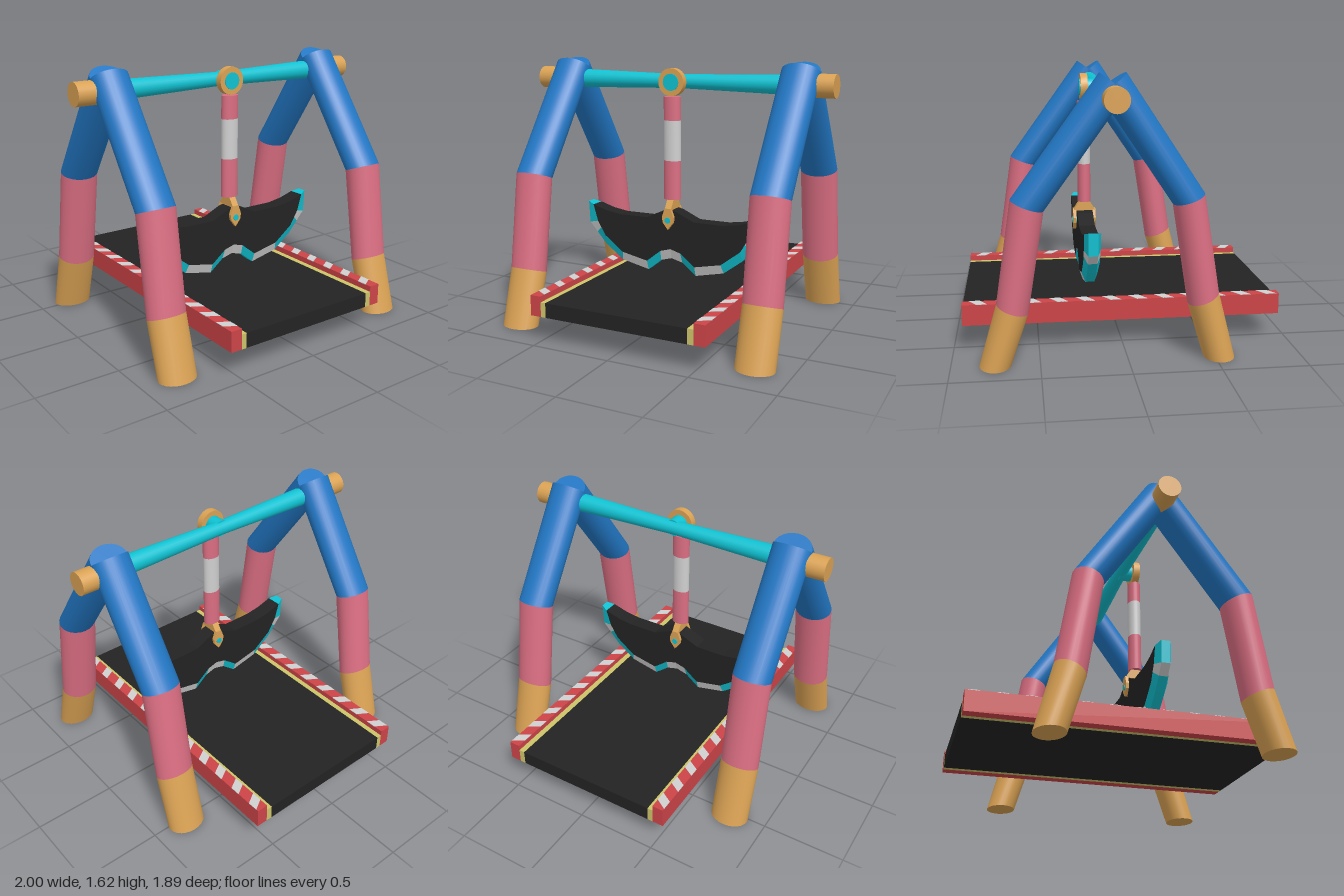
import * as THREE from 'three';
import { toCreasedNormals } from 'three/addons/utils/BufferGeometryUtils.js';

const material = (name, color) => new THREE.MeshStandardMaterial({ name, color });
const V = (x, y, z) => new THREE.Vector3(x, y, z);

// Closed solid between two rings, counterclockwise about the direction a -> b
function loft(a, b) {
  const pos = [];
  const tri = (...pts) => pts.forEach(p => pos.push(p.x, p.y, p.z));
  const mid = ring => ring.reduce((s, p) => s.add(p), V(0, 0, 0)).divideScalar(ring.length);
  const ca = mid(a), cb = mid(b);
  a.forEach((p, i) => {
    const j = (i + 1) % a.length;
    tri(p, a[j], b[j]);
    tri(p, b[j], b[i]);
    tri(ca, a[j], p);
    tri(cb, b[i], b[j]);
  });
  const g = new THREE.BufferGeometry();
  g.setAttribute('position', new THREE.Float32BufferAttribute(pos, 3));
  return toCreasedNormals(g, 0.5);
}

function extrude(points, depth) {
  const shape = new THREE.Shape(points.map(p => new THREE.Vector2(p[0], p[1])));
  return new THREE.ExtrudeGeometry(shape, { depth, bevelEnabled: false }).translate(0, 0, -depth / 2);
}

export function createModel() {
  const blue = material('blue', 0x2277c4), pink = material('pink', 0xda6e82);
  const gold = material('gold', 0xdaa254), cyan = material('cyan', 0x10c2d2);
  const black = material('black', 0x232323), white = material('white', 0xd0d0d0);
  const red = material('red', 0xcc4448), yellow = material('yellow', 0xcdc46a);

  const model = new THREE.Group();
  const add = (name, geometry, mat, x = 0, y = 0, z = 0, parent = model) => {
    const mesh = new THREE.Mesh(geometry, mat);
    mesh.name = name;
    mesh.position.set(x, y, z);
    parent.add(mesh);
    return mesh;
  };
  const group = name => {
    const g = new THREE.Group();
    g.name = name;
    model.add(g);
    return g;
  };

  // Bent legs: each ring is centre z, centre y, half-width vector z, y
  const legRings = {
    frontLeg: [[0.752, 0, 0.09, 0], [0.65, 0.33, 0.089, 0.03], [0.56, 0.913, 0.0915, 0.0335], [0.087, 1.57, 0.076, 0.055]],
    backLeg: [[-0.526, 0, -0.09, 0], [-0.428, 0.355, -0.088, 0.035], [-0.336, 0.93, -0.0885, 0.031], [0.091, 1.57, -0.076, 0.055]],
  };
  const sections = [['foot', gold], ['shin', pink], ['upperLeg', blue]];
  for (const [side, cx] of [['left', 0.785], ['right', -0.775]]) {
    for (const [name, rings] of Object.entries(legRings)) {
      const leg = group(`${side} ${name}`);
      const sign = name === 'frontLeg' ? -1 : 1;
      const loops = rings.map(([z, y, dz, dy]) => Array.from({ length: 24 }, (_, i) => {
        const t = i / 24 * Math.PI * 2, s = Math.sin(t);
        return V(cx + sign * 0.117 * Math.cos(t), y + dy * s, z + dz * s);
      }));
      sections.forEach(([part, mat], i) => add(part, loft(loops[i], loops[i + 1]), mat, 0, 0, 0, leg));
    }
  }

  // Crossbeam, thinner at the middle, with end caps
  const beamY = 1.493, beamZ = 0.09;
  for (const s of [-1, 1]) {
    const half = new THREE.CylinderGeometry(s > 0 ? 0.06 : 0.043, s > 0 ? 0.043 : 0.06, 0.75, 24);
    add('crossbeam', half.rotateZ(-Math.PI / 2), cyan, s * 0.375, beamY, beamZ);
    const cap = new THREE.CylinderGeometry(0.07, 0.07, 0.24, 24).rotateZ(Math.PI / 2);
    add('beamEnd', cap, gold, s * 0.88, beamY, beamZ);
  }

  // Hanger hub and ring
  const hangZ = 0.183;
  add('hub', new THREE.CylinderGeometry(0.052, 0.052, 0.13, 24).rotateX(Math.PI / 2), cyan, 0, beamY, 0.145);
  const ringProfile = [[0.05, -0.022], [0.085, -0.022], [0.085, 0.022], [0.05, 0.022], [0.05, -0.022]];
  const ring = new THREE.LatheGeometry(ringProfile.map(p => new THREE.Vector2(...p)), 28);
  add('hangerRing', toCreasedNormals(ring, 0.6).rotateX(Math.PI / 2), gold, 0, beamY, hangZ);

  // Banded oval rod
  for (const [name, y0, y1, mat] of [['rodTop', 1.26, 1.405, pink], ['rodBand', 1.01, 1.26, white], ['rodBottom', 0.765, 1.01, pink]]) {
    const g = new THREE.CylinderGeometry(0.056, 0.056, y1 - y0, 24).scale(1, 1, 0.74);
    add(name, g, mat, 0, (y0 + y1) / 2, hangZ);
  }

  // Forked bracket with cheek plates and pin
  const fork = extrude([
    [-0.03, 0.768], [-0.068, 0.71], [-0.068, 0.65], [-0.052, 0.65], [-0.052, 0.705],
    [0.052, 0.705], [0.052, 0.65], [0.068, 0.65], [0.068, 0.71], [0.03, 0.768],
  ], 0.044);
  add('fork', fork.rotateY(-Math.PI / 2), gold, 0, 0, hangZ);
  const cheek = [[0, 0.58], [0.035, 0.625], [0.04, 0.66], [0.02, 0.715], [-0.02, 0.715], [-0.04, 0.66], [-0.035, 0.625]];
  for (const s of [-1, 1]) add('forkCheek', extrude(cheek, 0.02), gold, 0, 0, hangZ + s * 0.062);
  add('pin', new THREE.CylinderGeometry(0.019, 0.019, 0.154, 16).rotateX(Math.PI / 2), cyan, 0, 0.64, hangZ);

  // Swinging blade: black core with a bevelled two-colour rim
  const blade = group('blade');
  blade.position.set(0.005, 0, hangZ - 0.003);
  const mirror = half => [...half.slice(1).reverse().map(([x, y]) => [-x, y]), ...half];
  const top = mirror([[0, 0.705], [0.045, 0.693], [0.163, 0.64], [0.36, 0.64], [0.46, 0.655], [0.56, 0.685]]);
  const inner = mirror([[0, 0.45], [0.07, 0.43], [0.167, 0.353], [0.345, 0.39], [0.473, 0.487], [0.528, 0.578], [0.56, 0.685]]);
  const outer = mirror([[0, 0.385], [0.075, 0.365], [0.167, 0.291], [0.357, 0.333], [0.48, 0.425], [0.6, 0.56], [0.608, 0.7]]);
  add('bladeCore', extrude([...inner, ...top.slice(1, -1).reverse()], 0.1), black, 0, 0, 0, blade);
  const stations = inner.map(([x, y], i) => {
    const [ox, oy] = outer[i];
    return [V(x, y, 0.05), V(ox, oy, 0.028), V(ox, oy, -0.028), V(x, y, -0.05)];
  });
  const between = (a, b, t) => a.map((p, i) => p.clone().lerp(b[i], t));
  const halfColours = [white, cyan, white, cyan, null, cyan];
  for (let i = 0; i < stations.length - 1; i++) {
    const a = stations[i], b = stations[i + 1];
    const k = i < 6 ? 5 - i : i - 6;
    if (halfColours[k]) {
      add('bladeRim', loft(a, b), halfColours[k], 0, 0, 0, blade);
    } else {
      // this stretch changes from cyan to white part way
      const t = i < 6 ? 0.45 : 0.55, m = between(a, b, t);
      add('bladeRim', loft(a, m), i < 6 ? white : cyan, 0, 0, 0, blade);
      add('bladeRim', loft(m, b), i < 6 ? cyan : white, 0, 0, 0, blade);
    }
  }

  // Walkway: deck, yellow edge strips and red rails
  const slab = (name, x0, x1, y1, mat) =>
    add(name, new THREE.BoxGeometry(x1 - x0, y1 - 0.16, 1.89), mat, (x0 + x1) / 2, (y1 + 0.16) / 2, 0);
  slab('deck', -0.447, 0.468, 0.25, black);
  slab('rightEdge', -0.48, -0.447, 0.25, yellow);
  slab('leftEdge', 0.468, 0.505, 0.25, yellow);
  slab('rightRail', -0.55, -0.48, 0.285, red);
  slab('leftRail', 0.505, 0.575, 0.285, red);

  // Slanted white stripes on the rails
  for (const [x, s] of [[-0.515, 1], [0.54, -1]]) {
    for (let i = 0; i < 12; i++) {
      const h = 0.035, d = s * 0.022;
      const g = extrude([[-h, -0.032 + d], [h, -0.032 - d], [h, 0.032 - d], [-h, 0.032 + d]], 0.004);
      add('railStripe', g.rotateX(-Math.PI / 2), white, x, 0.285, -0.875 + i * 0.157);
    }
  }
  return model;
}
